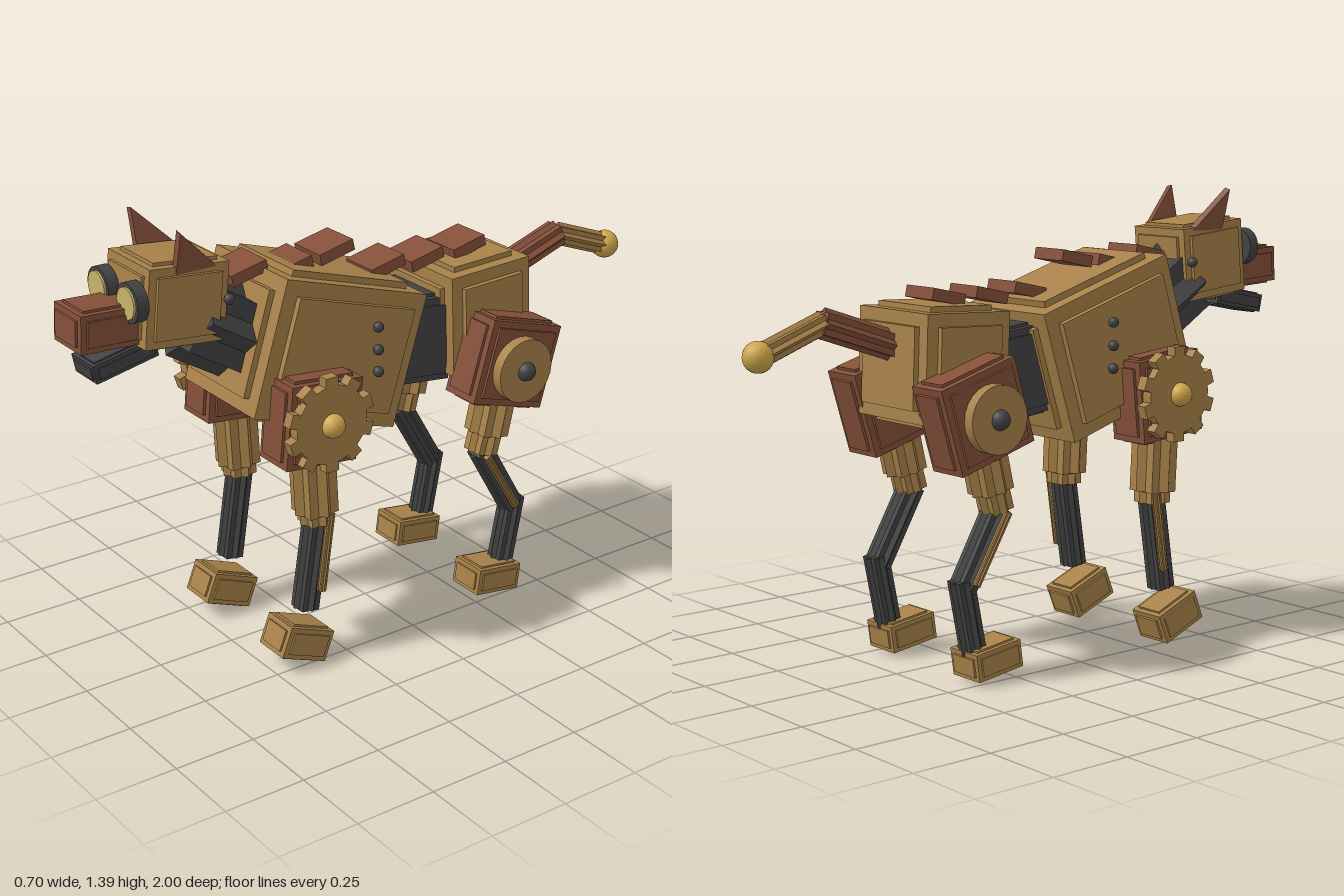
import * as THREE from 'three';
import { mergeGeometries } from 'three/addons/utils/BufferGeometryUtils.js';

const mat = (name, color) => {
  const m = new THREE.MeshStandardMaterial({ color });
  m.name = name;
  return m;
};

export function createModel() {
  const brass = mat('brass', 0xa8824a);
  const copper = mat('copper', 0x85503a);
  const iron = mat('iron', 0x434345);
  const gold = mat('gold', 0xd0a84c);
  const lens = mat('lens', 0xc9b46c);
  const root = new THREE.Group();

  const add = (name, geo, material, pos, rx = 0) => {
    const m = new THREE.Mesh(geo, material);
    m.name = name;
    m.position.set(...pos);
    m.rotation.x = rx;
    root.add(m);
    return m;
  };

  // Block with stepped edges: an inset core plus one slab reaching out along each axis
  const stepped = (w, h, d, r) => {
    const e = r * 0.6;
    return mergeGeometries([
      new THREE.BoxGeometry(w - e, h - e, d - e),
      new THREE.BoxGeometry(w, h - 2 * r, d - 2 * r),
      new THREE.BoxGeometry(w - 2 * r, h, d - 2 * r),
      new THREE.BoxGeometry(w - 2 * r, h - 2 * r, d),
    ]);
  };

  // Ridged bar between two points: two square prisms turned 45 degrees to each other
  const limb = (name, material, a, b, r) => {
    const from = new THREE.Vector3(...a), to = new THREE.Vector3(...b);
    const dir = to.clone().sub(from), len = dir.length(), side = r * Math.SQRT2;
    const geo = mergeGeometries([
      new THREE.BoxGeometry(side, len, side),
      new THREE.BoxGeometry(side, len * 0.98, side).rotateY(Math.PI / 4),
    ]);
    const m = add(name, geo, material, from.clone().add(to).multiplyScalar(0.5).toArray());
    m.quaternion.setFromUnitVectors(new THREE.Vector3(0, 1, 0), dir.normalize());
    return m;
  };

  const ball = (name, r, material, pos) =>
    add(name, new THREE.SphereGeometry(r, 16, 12), material, pos);
  const sideDisc = (r, t) => new THREE.CylinderGeometry(r, r, t, 24).rotateZ(Math.PI / 2);

  // Toothed wheel with its axle along x
  const gear = (r, t, teeth) => {
    const parts = [sideDisc(r, t)];
    for (let i = 0; i < teeth; i++) {
      parts.push(new THREE.BoxGeometry(t, 0.05, 0.042)
        .translate(0, r, 0).rotateX((i / teeth) * Math.PI * 2));
    }
    return mergeGeometries(parts);
  };

  // Body
  add('chest', stepped(0.41, 0.45, 0.55, 0.065), brass, [0, 0.93, 0.215], -0.3);
  add('waist', stepped(0.26, 0.28, 0.26, 0.03), iron, [0, 0.875, -0.12], -0.12);
  add('hips', stepped(0.36, 0.35, 0.33, 0.055), brass, [0, 0.915, -0.355], 0.04);
  limb('neck', iron, [0, 0.97, 0.4], [0, 1.105, 0.62], 0.14);

  // Spine plates
  for (const [y, z] of [[1.195, 0.445], [1.175, 0.29], [1.195, 0.145],
    [1.11, -0.04], [1.105, -0.185], [1.11, -0.345]]) {
    add('spinePlate', new THREE.BoxGeometry(0.13, 0.035, 0.12), copper, [0, y, z], 0.22);
  }

  // Head
  add('head', stepped(0.245, 0.25, 0.275, 0.035), brass, [0, 1.165, 0.68], -0.1);
  add('snout', stepped(0.165, 0.125, 0.22, 0.025), copper, [0, 1.13, 0.89], -0.05);
  add('jaw', stepped(0.13, 0.065, 0.21, 0.016), iron, [0, 1.025, 0.85], 0.2);

  // Tail
  limb('tailBase', copper, [0, 0.965, -0.47], [0, 1.06, -0.75], 0.045);
  limb('tailEnd', brass, [0, 1.06, -0.74], [0, 0.98, -0.955], 0.036);
  ball('tailTip', 0.045, gold, [0, 0.98, -0.955]);

  // Ear outline, drawn in the side plane
  const earShape = new THREE.Shape([
    new THREE.Vector2(0, 0), new THREE.Vector2(0.135, 0), new THREE.Vector2(0, 0.135)]);
  const earGeo = new THREE.ExtrudeGeometry(earShape, { depth: 0.022, bevelEnabled: false })
    .translate(0, 0, -0.011).rotateY(Math.PI / 2);

  // Mirrored parts
  for (const s of [1, -1]) {
    // Eyes, ears and rivets
    add('eyeRim', new THREE.CylinderGeometry(0.058, 0.058, 0.035, 24), iron, [s * 0.08, 1.2, 0.832], Math.PI / 2);
    add('eyeLens', new THREE.CylinderGeometry(0.046, 0.046, 0.008, 24), lens, [s * 0.08, 1.2, 0.852], Math.PI / 2);
    add('ear', earGeo, copper, [s * 0.1, 1.258, 0.713]).rotation.z = -s * 0.24;
    ball('headBolt', 0.016, iron, [s * 0.135, 1.165, 0.56]);
    for (const y of [0.88, 0.948, 1.018]) ball('chestRivet', 0.016, iron, [s * 0.245, y, 0.13]);

    // Front leg
    const x = s * 0.207;
    add('shoulder', stepped(0.155, 0.27, 0.26, 0.03), copper, [x, 0.78, 0.34], -0.1);
    add('shoulderGear', gear(0.12, 0.034, 10), brass, [s * 0.295, 0.79, 0.34]);
    ball('gearHub', 0.036, gold, [s * 0.315, 0.79, 0.34]);
    limb('frontUpperLeg', brass, [x, 0.78, 0.345], [x, 0.48, 0.33], 0.07);
    limb('frontKnee', brass, [x, 0.52, 0.33], [x, 0.445, 0.328], 0.055);
    limb('frontLowerLeg', iron, [x, 0.46, 0.325], [x, 0.17, 0.37], 0.042);
    limb('frontPiston', brass, [s * 0.25, 0.48, 0.305], [s * 0.25, 0.235, 0.34], 0.014);
    add('frontFoot', stepped(0.135, 0.11, 0.175, 0.022), brass, [x, 0.08, 0.4], -0.38);

    // Rear leg
    add('thigh', stepped(0.155, 0.28, 0.29, 0.03), copper, [x, 0.79, -0.37], -0.29);
    add('thighDisc', sideDisc(0.1, 0.05), brass, [s * 0.295, 0.785, -0.365]);
    ball('discHub', 0.03, iron, [s * 0.32, 0.785, -0.365]);
    limb('rearUpperLeg', brass, [x, 0.74, -0.35], [x, 0.56, -0.308], 0.068);
    limb('rearKnee', brass, [x, 0.6, -0.315], [x, 0.5, -0.288], 0.052);
    limb('rearShank', iron, [x, 0.51, -0.285], [x, 0.285, -0.415], 0.042);
    limb('rearPiston', brass, [s * 0.25, 0.5, -0.28], [s * 0.25, 0.3, -0.4], 0.014);
    limb('rearAnkle', iron, [x, 0.315, -0.42], [x, 0.09, -0.375], 0.04);
    add('rearFoot', stepped(0.135, 0.095, 0.175, 0.02), brass, [x, 0.07, -0.325], -0.14);
  }

  return root;
}
